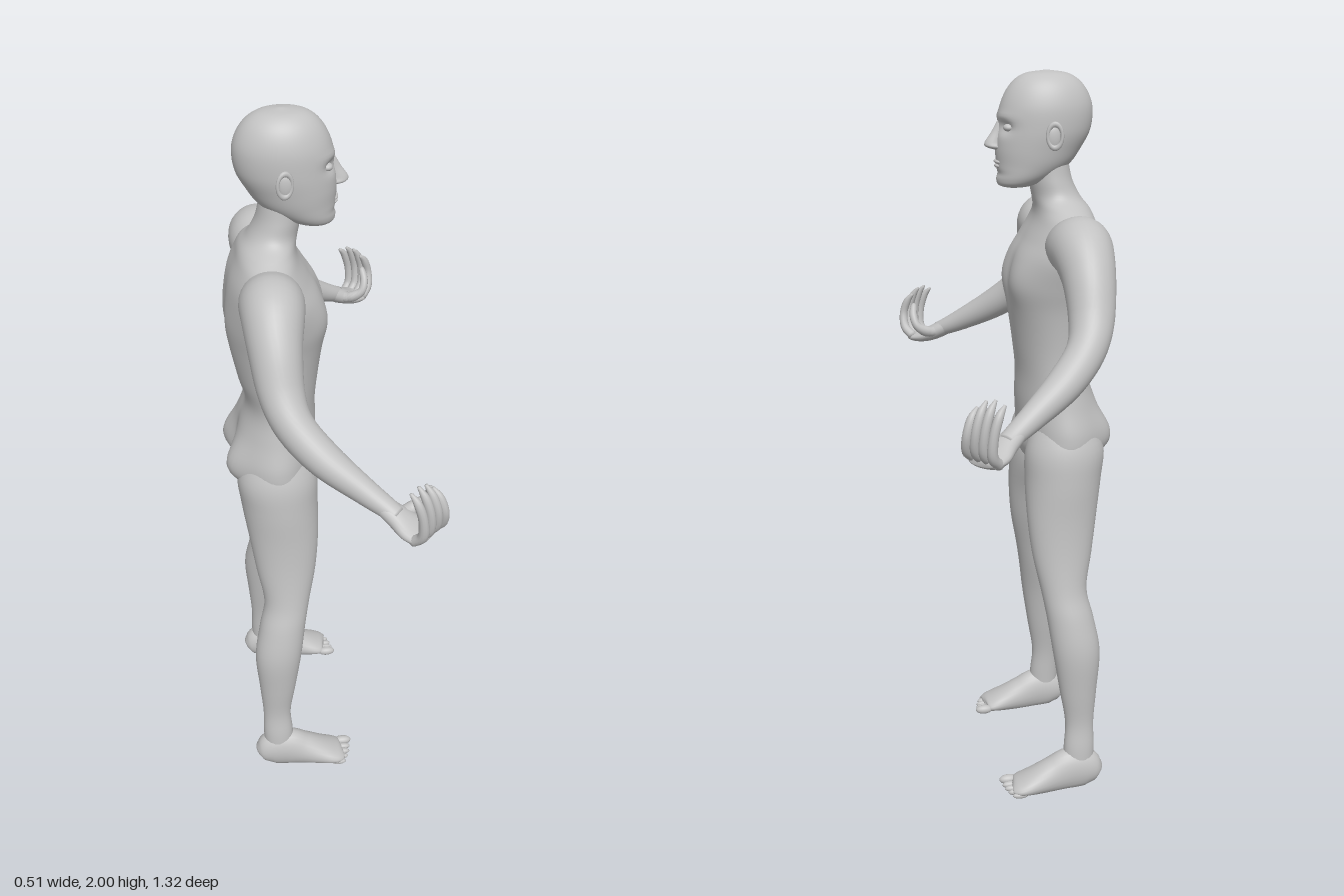
import * as THREE from 'three';

const skin = new THREE.MeshStandardMaterial({ color: 0xc2c2c2 });
skin.name = 'grey skin';

const gauss = (d, s) => Math.exp(-(d * d) / (s * s));
const V = (x, y, z) => new THREE.Vector3(x, y, z);

// Smooth closed loft through rows of [x, y, z, radiusU, radiusV].
// With ref, sections stand square to the path and U leans to ref; otherwise they lie flat (U = x, V = z, top down).
function loft(name, rows, { ref = null, sides = 24, steps = 5, sculpt = null } = {}) {
  const path = new THREE.CatmullRomCurve3(rows.map(r => V(r[0], r[1], r[2])), false, 'catmullrom');
  const radii = new THREE.CatmullRomCurve3(rows.map(r => V(r[3], r[4], 0)), false, 'catmullrom');
  const count = (rows.length - 1) * steps, pos = [], index = [];
  const add = p => { if (sculpt) sculpt(p); pos.push(p.x, p.y, p.z); };
  for (let i = 0; i <= count; i++) {
    const c = path.getPoint(i / count), r = radii.getPoint(i / count);
    const t = ref ? path.getTangent(i / count) : V(0, -1, 0);
    const u = ref ? ref.clone().addScaledVector(t, -ref.dot(t)).normalize() : V(1, 0, 0);
    const v = t.clone().cross(u);
    for (let j = 0; j < sides; j++) {
      const a = j / sides * Math.PI * 2;
      add(c.clone().addScaledVector(u, Math.cos(a) * r.x).addScaledVector(v, Math.sin(a) * r.y));
    }
  }
  for (let i = 0; i < count; i++) for (let j = 0; j < sides; j++) {
    const k = (j + 1) % sides, a = i * sides + j, b = i * sides + k;
    index.push(a, b, a + sides, b, b + sides, a + sides);
  }
  // end caps
  add(path.getPoint(0)); add(path.getPoint(1));
  const first = (count + 1) * sides, base = count * sides;
  for (let j = 0; j < sides; j++) {
    const k = (j + 1) % sides;
    index.push(first, k, j, first + 1, base + j, base + k);
  }
  const g = new THREE.BufferGeometry();
  g.setAttribute('position', new THREE.Float32BufferAttribute(pos, 3));
  g.setIndex(index);
  g.computeVertexNormals();
  const mesh = new THREE.Mesh(g, skin);
  mesh.name = name;
  return mesh;
}

function ball(name, x, y, z, rx, ry, rz) {
  const g = new THREE.SphereGeometry(1, 20, 14).scale(rx, ry, rz).translate(x, y, z);
  const mesh = new THREE.Mesh(g, skin);
  mesh.name = name;
  return mesh;
}

// Chest, spine and seat modelling
function shapeTorso(p) {
  const az = Math.abs(p.z);
  if (p.x > -0.1) {
    const w = Math.min(1, (p.x + 0.1) / 0.06);
    p.x += w * (0.014 * gauss(p.y - 1.46, 0.07) * gauss(az - 0.09, 0.06) - 0.006 * gauss(p.z, 0.02) * gauss(p.y - 1.42, 0.12));
  } else {
    const w = Math.min(1, (-0.1 - p.x) / 0.06);
    p.x += w * (0.014 * gauss(p.z, 0.035) * gauss(p.y - 1.36, 0.17)
      + 0.025 * gauss(p.z, 0.018) * gauss(p.y - 1.01, 0.07)
      - 0.036 * gauss(p.y - 1.02, 0.075) * gauss(az - 0.09, 0.055));
  }
}

// Eye sockets and cheeks
function shapeHead(p) {
  if (p.x < 0) return;
  const az = Math.abs(p.z);
  p.x -= 0.014 * gauss(p.y - 1.858, 0.017) * gauss(az - 0.036, 0.022);
  p.x += 0.004 * gauss(p.y - 1.885, 0.012) * gauss(az - 0.03, 0.035);
  p.x -= 0.005 * gauss(p.y - 1.738, 0.01) * gauss(p.z, 0.04);
}

function makeHead() {
  const head = new THREE.Group();
  head.name = 'head';
  head.add(loft('skull', [
    [-0.078, 2.0, 0, 0.006, 0.005], [-0.077, 1.99, 0, 0.062, 0.045], [-0.078, 1.96, 0, 0.1, 0.074],
    [-0.077, 1.91, 0, 0.123, 0.091], [-0.071, 1.85, 0, 0.125, 0.093], [-0.056, 1.8, 0, 0.114, 0.087],
    [-0.042, 1.76, 0, 0.098, 0.079], [-0.016, 1.725, 0, 0.072, 0.066], [0.003, 1.706, 0, 0.046, 0.046],
    [0.01, 1.698, 0, 0.008, 0.008]], { sides: 64, steps: 8, sculpt: shapeHead }));
  head.add(loft('nose', [
    [0.042, 1.875, 0, 0.01, 0.008], [0.051, 1.845, 0, 0.018, 0.011], [0.062, 1.818, 0, 0.025, 0.016],
    [0.059, 1.806, 0, 0.024, 0.019], [0.05, 1.798, 0, 0.008, 0.009]], { sides: 20 }));
  head.add(ball('upperLip', 0.052, 1.768, 0, 0.01, 0.006, 0.026));
  head.add(ball('lowerLip', 0.051, 1.757, 0, 0.01, 0.006, 0.022));
  head.add(ball('chin', 0.035, 1.722, 0, 0.021, 0.016, 0.028));
  for (const s of [1, -1]) {
    head.add(ball('eye', 0.03, 1.858, s * 0.036, 0.014, 0.01, 0.015));
    head.add(ball('ear', -0.078, 1.835, s * 0.092, 0.018, 0.03, 0.008));
    const rim = new THREE.Mesh(new THREE.TorusGeometry(0.02, 0.005, 8, 24), skin);
    rim.name = 'earRim';
    rim.scale.set(0.95, 1.5, 1);
    rim.position.set(-0.08, 1.84, s * 0.098);
    rim.rotation.y = s * 0.25;
    head.add(rim);
  }
  return head;
}

// s = 1 for +z, -1 for -z
function makeArm(s) {
  const arm = new THREE.Group();
  arm.name = s > 0 ? 'rightArm' : 'leftArm';
  const side = rows => rows.map(([x, y, z, a, b]) => [x, y, z * s, a, b]);
  arm.add(loft('armAndShoulder', side([
    [-0.12, 1.55, 0.1, 0.06, 0.07], [-0.124, 1.565, 0.17, 0.078, 0.082], [-0.126, 1.56, 0.225, 0.082, 0.08],
    [-0.127, 1.5, 0.293, 0.07, 0.068], [-0.118, 1.41, 0.355, 0.055, 0.058], [-0.09, 1.345, 0.405, 0.05, 0.05],
    [-0.025, 1.282, 0.457, 0.045, 0.046], [0.06, 1.225, 0.51, 0.034, 0.034], [0.115, 1.192, 0.545, 0.026, 0.028],
    [0.14, 1.178, 0.565, 0.022, 0.026]]), { ref: V(0, 1, 0), sides: 32 }));

  // palm, thumb and curled fingers
  arm.add(loft('palm', side([
    [0.105, 1.197, 0.54, 0.026, 0.022], [0.14, 1.175, 0.562, 0.035, 0.024], [0.172, 1.157, 0.587, 0.047, 0.021],
    [0.2, 1.151, 0.608, 0.046, 0.016], [0.21, 1.152, 0.617, 0.034, 0.008]]), { ref: V(0.64, 0, -0.77 * s) }));
  arm.add(loft('thumb', side([
    [0.145, 1.175, 0.555, 0.016, 0.016], [0.178, 1.178, 0.538, 0.018, 0.016], [0.21, 1.198, 0.532, 0.013, 0.013],
    [0.22, 1.228, 0.545, 0.012, 0.012], [0.216, 1.255, 0.565, 0.009, 0.009], [0.214, 1.262, 0.571, 0.002, 0.002]]),
  { ref: V(1, 0, 0), sides: 12 }));
  const index = [[0.218, 1.155, 0.578], [0.24, 1.18, 0.602], [0.242, 1.222, 0.617], [0.23, 1.262, 0.612], [0.214, 1.285, 0.6]];
  const little = [[0.168, 1.147, 0.626], [0.187, 1.175, 0.645], [0.185, 1.225, 0.65], [0.172, 1.27, 0.645], [0.155, 1.295, 0.632]];
  const thick = [0.014, 0.0135, 0.012, 0.011, 0.004];
  for (let f = 0; f < 4; f++) {
    const k = f / 3, reach = f === 1 || f === 2 ? 0.014 : 0;
    arm.add(loft('finger', side(index.map((p, i) => [
      ...p.map((c, n) => c + (little[i][n] - c) * k + (n === 1 ? reach * i / 4 : 0)), thick[i], thick[i]])),
    { ref: V(0.64, 0, -0.77 * s), sides: 12 }));
  }
  return arm;
}

function makeLeg(s) {
  const leg = new THREE.Group();
  leg.name = s > 0 ? 'rightLeg' : 'leftLeg';
  const side = rows => rows.map(([x, y, z, a, b]) => [x, y, z * s, a, b]);
  leg.add(loft('thighAndCalf', side([
    [-0.11, 1.09, 0.1, 0.07, 0.06], [-0.113, 1.0, 0.106, 0.108, 0.09], [-0.108, 0.91, 0.109, 0.107, 0.096],
    [-0.1, 0.8, 0.135, 0.097, 0.072], [-0.097, 0.7, 0.155, 0.084, 0.06], [-0.098, 0.6, 0.178, 0.065, 0.053],
    [-0.113, 0.52, 0.197, 0.066, 0.056], [-0.128, 0.42, 0.216, 0.067, 0.053], [-0.133, 0.3, 0.223, 0.053, 0.041],
    [-0.137, 0.2, 0.228, 0.041, 0.03], [-0.135, 0.12, 0.235, 0.044, 0.033], [-0.133, 0.04, 0.238, 0.042, 0.034]]),
  { sides: 36 }));
  leg.add(loft('foot', side([
    [-0.196, 0.035, 0.238, 0.012, 0.012], [-0.186, 0.04, 0.238, 0.036, 0.03], [-0.155, 0.05, 0.238, 0.06, 0.039],
    [-0.11, 0.052, 0.238, 0.066, 0.042], [-0.06, 0.04, 0.238, 0.053, 0.045], [-0.01, 0.028, 0.24, 0.038, 0.05],
    [0.03, 0.02, 0.241, 0.025, 0.053], [0.052, 0.016, 0.241, 0.017, 0.047], [0.06, 0.014, 0.24, 0.006, 0.03]]),
  { ref: V(0, 1, 0), sculpt: p => { p.y = Math.max(p.y, 0.002); } }));
  for (let i = 0; i < 5; i++) {
    const r = i ? 0.0105 - i * 0.0004 : 0.014;
    leg.add(ball('toe', 0.066 - i * i * 0.0013, r, s * (i ? 0.204 + i * 0.0195 : 0.201), i ? 0.023 : 0.027, r, r));
  }
  return leg;
}

export function createModel() {
  const model = new THREE.Group();
  model.name = 'standingFigure';
  model.add(loft('torsoAndNeck', [
    [-0.08, 1.78, 0, 0.055, 0.062], [-0.09, 1.72, 0, 0.058, 0.068], [-0.106, 1.675, 0, 0.065, 0.08],
    [-0.12, 1.645, 0, 0.074, 0.125], [-0.123, 1.615, 0, 0.083, 0.175], [-0.12, 1.57, 0, 0.104, 0.203],
    [-0.112, 1.52, 0, 0.123, 0.205], [-0.108, 1.45, 0, 0.135, 0.187], [-0.106, 1.38, 0, 0.13, 0.17],
    [-0.102, 1.28, 0, 0.113, 0.159], [-0.096, 1.2, 0, 0.098, 0.159], [-0.104, 1.12, 0, 0.107, 0.172],
    [-0.113, 1.04, 0, 0.112, 0.19], [-0.11, 0.985, 0, 0.108, 0.18], [-0.102, 0.945, 0, 0.08, 0.1],
    [-0.1, 0.925, 0, 0.03, 0.03]], { sides: 72, steps: 6, sculpt: shapeTorso }));
  model.add(makeHead());
  for (const s of [1, -1]) model.add(makeArm(s), makeLeg(s));
  return model;
}
